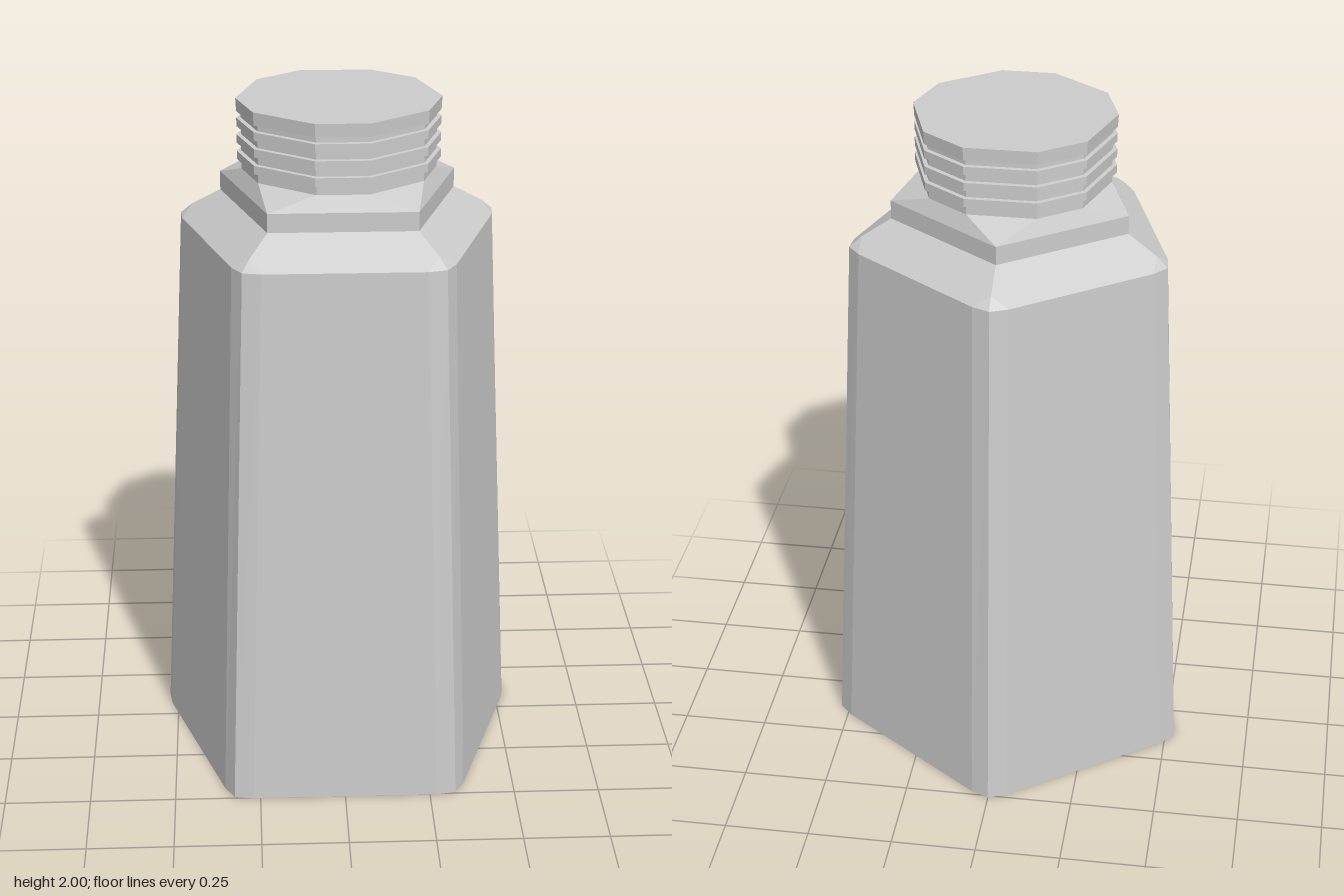
import * as THREE from 'three';

const SIDES = 5;
const CENTRE_Z = 0.045;
const HALF = Math.PI / SIDES;

// Pentagon cross-section with its point at the back. `cut` trims each corner
// along its edges and `bulge` pushes the middle of the trimmed corner outwards.
function pentagonRing(y, apothem, cut = 0, bulge = 0) {
  const radius = apothem / Math.cos(HALF);
  const reach = radius - cut * Math.sin(HALF);
  const half = cut * Math.cos(HALF);
  const points = [];
  for (let k = 0; k < SIDES; k++) {
    const a = Math.PI + k * 2 * HALF;
    for (const s of [-1, 0, 1]) {
      const r = reach + (s === 0 ? bulge : 0);
      points.push(new THREE.Vector3(
        r * Math.sin(a) + s * half * Math.cos(a),
        y,
        r * Math.cos(a) - s * half * Math.sin(a)
      ));
    }
  }
  return points;
}

// Joins rings from bottom to top, with optional flat end caps.
function loft(rings, capBottom, capTop) {
  const positions = [];
  const triangle = (a, b, c) => {
    const area = b.clone().sub(a).cross(c.clone().sub(a)).length();
    if (area > 1e-7) for (const p of [a, b, c]) positions.push(p.x, p.y, p.z);
  };
  const count = rings[0].length;
  for (let r = 0; r < rings.length - 1; r++) {
    const low = rings[r], high = rings[r + 1];
    for (let i = 0; i < count; i++) {
      const j = (i + 1) % count;
      triangle(low[i], low[j], high[j]);
      triangle(low[i], high[j], high[i]);
    }
  }
  const bottom = rings[0], top = rings[rings.length - 1];
  const bottomCentre = new THREE.Vector3(0, bottom[0].y, 0);
  const topCentre = new THREE.Vector3(0, top[0].y, 0);
  for (let i = 0; i < count; i++) {
    const j = (i + 1) % count;
    if (capBottom) triangle(bottomCentre, bottom[j], bottom[i]);
    if (capTop) triangle(topCentre, top[i], top[j]);
  }
  const geometry = new THREE.BufferGeometry();
  geometry.setAttribute('position', new THREE.Float32BufferAttribute(positions, 3));
  geometry.computeVertexNormals();
  return geometry;
}

export function createModel() {
  const group = new THREE.Group();
  group.name = 'bottle';
  const material = new THREE.MeshStandardMaterial({ color: 0xcccccc, flatShading: true });

  const addPart = (name, geometry) => {
    const mesh = new THREE.Mesh(geometry, material);
    mesh.name = name;
    mesh.position.z = CENTRE_Z;
    group.add(mesh);
  };

  // Tapered body with rounded corners
  const shoulderEdge = pentagonRing(1.615, 0.398, 0.062, 0.021);
  addPart('body', loft([pentagonRing(0, 0.46, 0.064, 0.024), shoulderEdge], true, false));

  // Sloping shoulder, whose ridges run into the rounded corners
  const collarBase = pentagonRing(1.695, 0.287);
  addPart('shoulder', loft([shoulderEdge, pentagonRing(1.645, 0.357), collarBase], false, false));

  // Upright sharp-cornered collar
  const collarTop = pentagonRing(1.75, 0.287);
  addPart('collar', loft([collarBase, collarTop], false, false));

  // Ten-sided neck with raised bands, closed by a flat top
  const neckRing = (y, apothem) => pentagonRing(y, apothem, apothem * 0.452);
  const inner = 0.266, outer = 0.278;
  const neck = [collarTop, neckRing(1.795, inner)];
  for (const y of [1.835, 1.883, 1.931]) {
    neck.push(neckRing(y - 0.013, inner), neckRing(y - 0.012, outer));
    neck.push(neckRing(y + 0.012, outer), neckRing(y + 0.013, inner));
  }
  neck.push(neckRing(1.96, inner), neckRing(1.962, outer), neckRing(2, 0.28));
  addPart('neck', loft(neck, false, true));

  return group;
}
